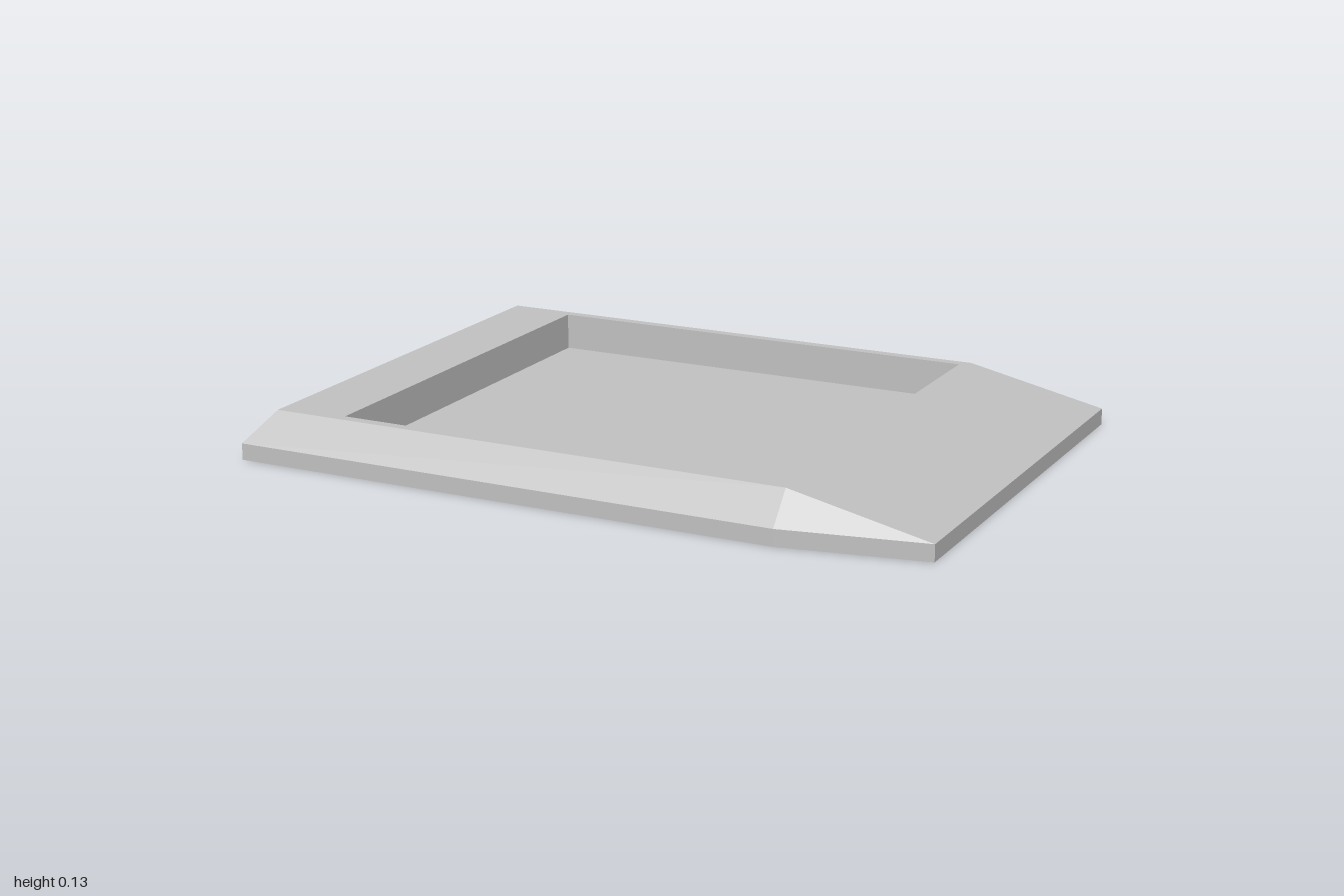
import * as THREE from 'three';

const TOP = 0.133, EDGE = 0.047, FLOOR = 0.026;

// Outlines as [x, z], running counter-clockwise seen from above
const outline = [[-1, 0.725], [0.6, 0.725], [1, 0.652], [1, -0.652], [0.6, -0.725], [-1, -0.725]];
const deckOutline = [[-0.928, 0.652], [0.6, 0.652], [0.6, 0.652], [0.6, -0.652], [0.6, -0.652], [-0.928, -0.652]];
const recess = [[-0.728, 0.622], [0.573, 0.622], [0.573, -0.622], [-0.728, -0.622]];

// Flat faces joining a lower ring to an upper ring; facing outward, or inward if asked
function band(lower, y0, upper, y1, inward = false) {
  const pos = [];
  const tri = (a, b, c) => {
    if (a.distanceTo(b) < 1e-6 || b.distanceTo(c) < 1e-6 || c.distanceTo(a) < 1e-6) return;
    for (const p of inward ? [a, c, b] : [a, b, c]) pos.push(p.x, p.y, p.z);
  };
  const at = (ring, i, y) => {
    const [x, z] = ring[i % ring.length];
    return new THREE.Vector3(x, y, z);
  };
  for (let i = 0; i < lower.length; i++) {
    const a = at(lower, i, y0), b = at(lower, i + 1, y0);
    const c = at(upper, i + 1, y1), d = at(upper, i, y1);
    tri(a, b, c);
    tri(a, c, d);
  }
  const geometry = new THREE.BufferGeometry();
  geometry.setAttribute('position', new THREE.Float32BufferAttribute(pos, 3));
  geometry.computeVertexNormals();
  return geometry;
}

// Horizontal sheet at height y, optionally with an opening
function sheet(ring, y, hole, faceDown = false) {
  const points = (r) => r.map(([x, z]) => new THREE.Vector2(x, faceDown ? z : -z));
  const shape = new THREE.Shape(points(ring));
  if (hole) shape.holes.push(new THREE.Path(points(hole)));
  return new THREE.ShapeGeometry(shape).rotateX(faceDown ? Math.PI / 2 : -Math.PI / 2).translate(0, y, 0);
}

export function createModel() {
  const model = new THREE.Group();
  model.name = 'recessedTray';
  const grey = new THREE.MeshStandardMaterial({ color: 0xc0c0c0 });
  grey.name = 'light grey';

  const add = (name, geometry) => {
    const mesh = new THREE.Mesh(geometry, grey);
    mesh.name = name;
    model.add(mesh);
  };

  // Body: underside, upright edge and sloping sides
  add('underside', sheet(outline, 0, null, true));
  add('baseEdge', band(outline, 0, outline, EDGE));
  add('slopingSides', band(outline, EDGE, deckOutline, TOP));

  // Rim around the rectangular recess
  const deckCorners = [0, 1, 3, 5].map((i) => deckOutline[i]);
  add('topRim', sheet(deckCorners, TOP, recess));
  add('recessWalls', band(recess, FLOOR, recess, TOP, true));
  add('recessFloor', sheet(recess, FLOOR));

  return model;
}
